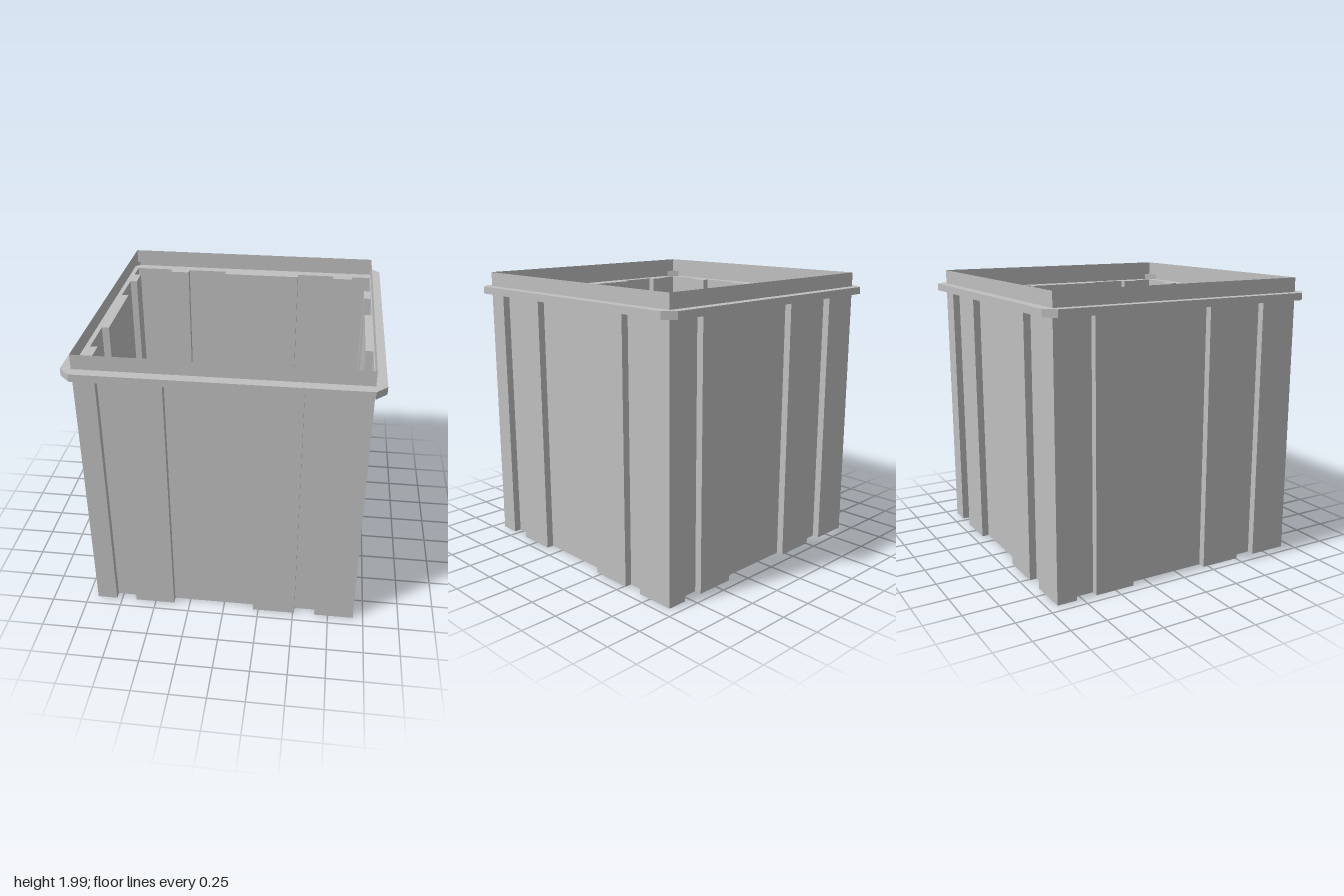
import * as THREE from 'three';

const OUT = 0.93, IN = 0.88, RIM = 1;          // wall, recess and rim offsets
const Y_RIM0 = 1.84, Y_RIM1 = 1.89, Y_TOP = 1.99;
const RECESSES = [[-0.79, -0.645], [-0.365, 0.215], [0.51, 0.655]];

// Repeat one side's [x, z] points around the four sides
function fourSides(side) {
  const pts = [];
  let s = side;
  for (let i = 0; i < 4; i++) {
    pts.push(...s);
    s = s.map(([x, z]) => [z, -x]);
  }
  return pts;
}

// Upright sheet following a closed plan outline
function sheet(plan, y0, y1) {
  const pos = [];
  plan.forEach(([ax, az], i) => {
    const [bx, bz] = plan[(i + 1) % plan.length];
    pos.push(ax, y0, az, bx, y0, bz, bx, y1, bz);
    pos.push(ax, y0, az, bx, y1, bz, ax, y1, az);
  });
  const g = new THREE.BufferGeometry();
  g.setAttribute('position', new THREE.Float32BufferAttribute(pos, 3));
  g.computeVertexNormals();
  return g;
}

// Flat ring between two plan outlines, facing up (dir 1) or down (dir -1)
function ring(outer, inner, y, dir) {
  const toVec = ([x, z]) => new THREE.Vector2(x, -dir * z);
  const shape = new THREE.Shape(outer.map(toVec));
  shape.holes.push(new THREE.Path(inner.map(toVec)));
  return new THREE.ShapeGeometry(shape).rotateX(-dir * Math.PI / 2).translate(0, y, 0);
}

export function createModel() {
  const group = new THREE.Group();
  group.name = 'ribbedBin';
  const grey = new THREE.MeshStandardMaterial({ color: 0xbfbfbf, side: THREE.DoubleSide });
  grey.name = 'grey';

  const add = (name, geometry) => {
    const mesh = new THREE.Mesh(geometry, grey);
    mesh.name = name;
    group.add(mesh);
  };

  // Plan outlines
  const wallSide = [[-OUT, OUT]];
  for (const [a, b] of RECESSES) wallSide.push([a, OUT], [a, IN], [b, IN], [b, OUT]);
  const wallPlan = fourSides(wallSide);
  const lipPlan = fourSides([[-OUT, OUT]]);
  const rimPlan = fourSides([[-OUT, RIM], [OUT, RIM]]);

  // Thin ribbed walls, open at both ends
  add('ribbedWalls', sheet(wallPlan, 0, Y_RIM0));

  // Hollow rim with cut corners, open towards the inside
  add('rimUnderside', ring(rimPlan, wallPlan, Y_RIM0, -1));
  add('rimEdge', sheet(rimPlan, Y_RIM0, Y_RIM1));
  add('rimTop', ring(rimPlan, lipPlan, Y_RIM1, 1));

  // Upright lip
  add('topLip', sheet(lipPlan, Y_RIM1, Y_TOP));

  return group;
}
